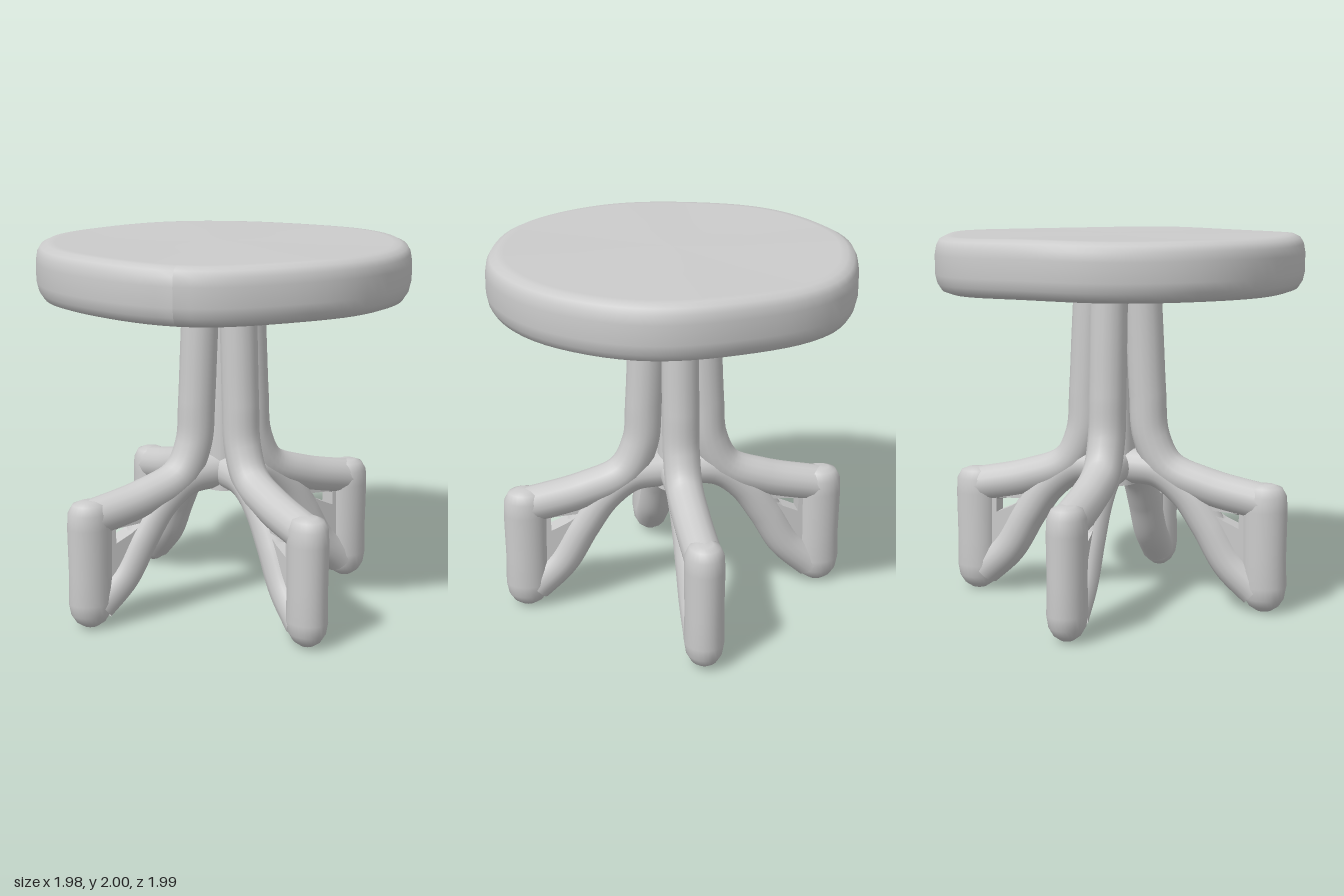
import * as THREE from 'three';

const material = new THREE.MeshStandardMaterial({ color: 0xcccccc, side: THREE.DoubleSide });

function part(name, geometry, parent) {
  const mesh = new THREE.Mesh(geometry, material);
  mesh.name = name;
  parent.add(mesh);
  return mesh;
}

const v2 = (pairs) => pairs.map(([x, y]) => new THREE.Vector2(x, y));

function tube(points, radius) {
  const curve = new THREE.CatmullRomCurve3(points.map(([x, y]) => new THREE.Vector3(x, y, 0)));
  return new THREE.TubeGeometry(curve, 40, radius, 16);
}

// Seat rim radius every 30 degrees, from +x towards +z: a hand-shaped disc
const rim = [0.985, 0.975, 0.955, 0.99, 0.975, 0.975, 0.99, 0.975, 0.965, 1.0, 0.975, 1.005];

function rimRadius(angle) {
  const t = ((angle / (Math.PI * 2) + 1) % 1) * rim.length;
  const i = Math.floor(t) % rim.length;
  const blend = THREE.MathUtils.smoothstep(t - Math.floor(t), 0, 1);
  return THREE.MathUtils.lerp(rim[i], rim[(i + 1) % rim.length], blend);
}

function seatGeometry() {
  const profile = v2([
    [0, 1.7], [0.5, 1.7], [0.92, 1.7], [0.965, 1.715], [0.988, 1.75], [1, 1.8], [1, 1.9],
    [0.992, 1.945], [0.975, 1.975], [0.94, 1.992], [0.9, 1.995], [0.5, 1.993], [0, 1.993],
  ]);
  const geometry = new THREE.LatheGeometry(profile, 72);
  const p = geometry.attributes.position;
  for (let i = 0; i < p.count; i++) {
    const x = p.getX(i), z = p.getZ(i);
    const scale = rimRadius(Math.atan2(z, x));
    const ripple = 0.005 * Math.sin(5 * x + 1) * Math.cos(4 * z);
    p.setXYZ(i, x * scale, p.getY(i) + ripple, z * scale);
  }
  geometry.computeVertexNormals();
  return geometry;
}

// One leg in its own plane: x runs outwards from the middle
function makeLeg() {
  const leg = new THREE.Group();

  // Post that bends outwards into the upper arm
  part('postAndArm', tube([
    [0.14, 1.74], [0.155, 1.45], [0.17, 1.15], [0.19, 0.92], [0.28, 0.75], [0.5, 0.66], [0.82, 0.59],
  ], 0.1), leg);

  // Curved lower strut
  part('lowerStrut', tube([
    [0.06, 0.75], [0.24, 0.73], [0.39, 0.62], [0.51, 0.45], [0.63, 0.25], [0.78, 0.11],
  ], 0.095), leg);

  // Upright foot with a rounded toe
  const foot = part('foot', new THREE.LatheGeometry(v2([
    [0, 0], [0.04, 0.006], [0.08, 0.032], [0.108, 0.075], [0.12, 0.14], [0.116, 0.3],
    [0.12, 0.55], [0.115, 0.63], [0.09, 0.675], [0.05, 0.69], [0, 0.692],
  ]), 24), leg);
  foot.position.x = 0.82;
  foot.scale.z = 0.87;

  // Recessed web with a slit under the arm
  const shape = new THREE.Shape(v2([[0.3, 0.72], [0.5, 0.46], [0.62, 0.26], [0.82, 0.12], [0.82, 0.6], [0.5, 0.67]]));
  shape.holes.push(new THREE.Path(v2([[0.52, 0.54], [0.69, 0.53], [0.69, 0.45], [0.6, 0.49]])));
  const web = part('web', new THREE.ExtrudeGeometry(shape, { depth: 0.1, bevelEnabled: false }), leg);
  web.position.z = -0.05;
  return leg;
}

export function createModel() {
  const model = new THREE.Group();
  model.name = 'stool';

  part('seat', seatGeometry(), model);

  // Four diagonal legs around a thin core
  const base = new THREE.Group();
  base.name = 'base';
  base.position.z = -0.02;
  model.add(base);
  const core = part('core', new THREE.CylinderGeometry(0.07, 0.1, 1.07, 16), base);
  core.position.y = 1.185;
  ['frontLeftLeg', 'backLeftLeg', 'backRightLeg', 'frontRightLeg'].forEach((name, i) => {
    const leg = makeLeg();
    leg.name = name;
    leg.rotation.y = -Math.PI / 4 + (i * Math.PI) / 2;
    base.add(leg);
  });
  return model;
}
